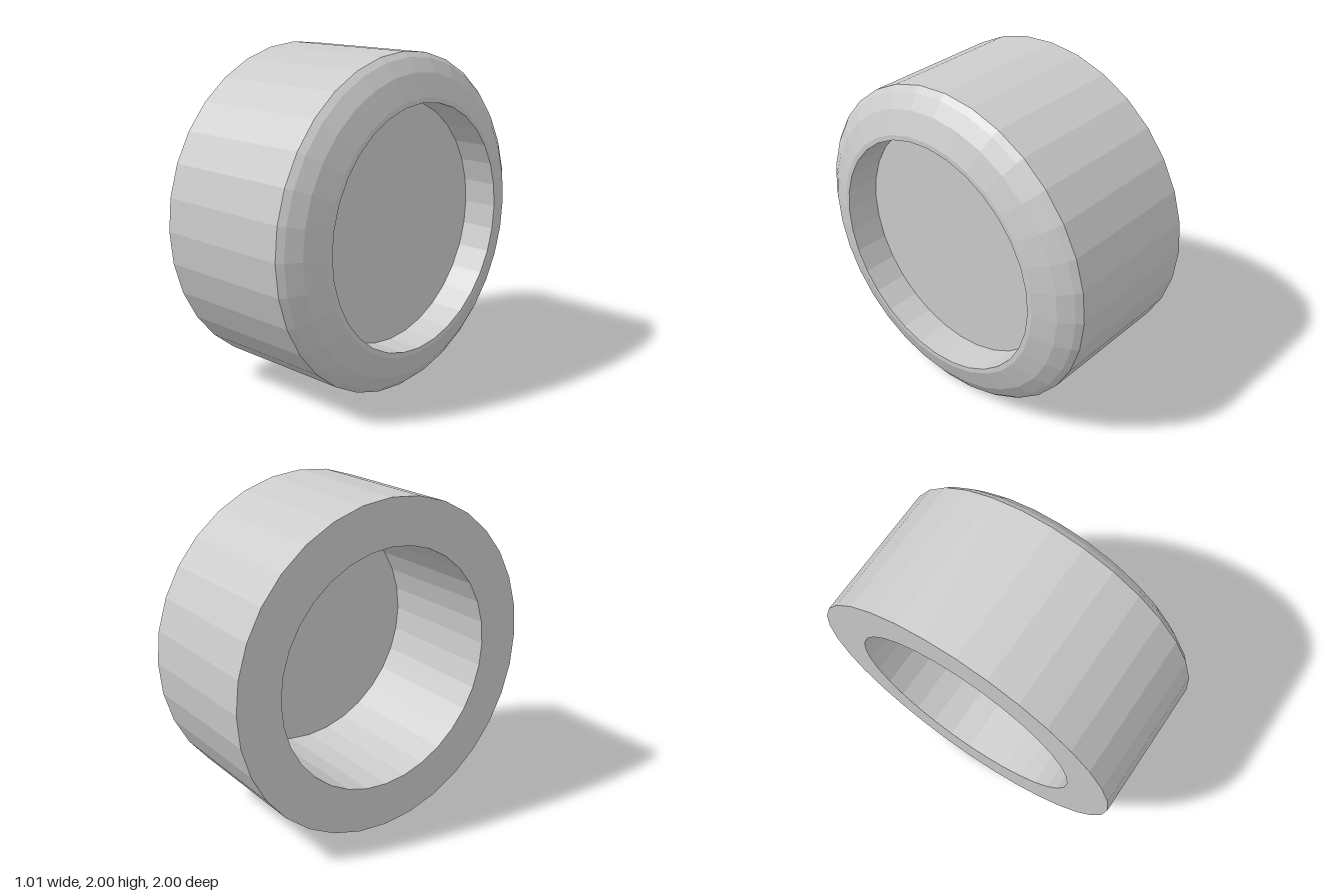
import * as THREE from 'three';

const SIDES = 32;
const BORE = 0.725;

export function createModel() {
  const group = new THREE.Group();
  const material = new THREE.MeshStandardMaterial({ color: 0xcccccc, flatShading: true });

  // Closed ring section as [radius, x]: outer wall, rounded shoulder, lip, bore, back face
  const section = [
    [1, -0.507], [1, 0.367], [0.97, 0.402], [0.89, 0.458], [0.755, 0.507],
    [BORE, 0.507], [BORE, -0.507], [1, -0.507],
  ].map(([r, x]) => new THREE.Vector2(r, x));
  const ring = new THREE.Mesh(new THREE.LatheGeometry(section, SIDES).rotateZ(-Math.PI / 2), material);
  ring.name = 'ring';

  // Thin web closing the bore, set back from the rounded end
  const webMaterial = material.clone();
  webMaterial.side = THREE.DoubleSide;
  const web = new THREE.Mesh(new THREE.CircleGeometry(BORE, SIDES).rotateY(Math.PI / 2), webMaterial);
  web.name = 'web';
  web.position.x = 0.29;

  group.add(ring, web);
  group.position.y = 1;
  const model = new THREE.Group();
  model.name = 'cap';
  model.add(group);
  group.name = 'body';
  return model;
}
